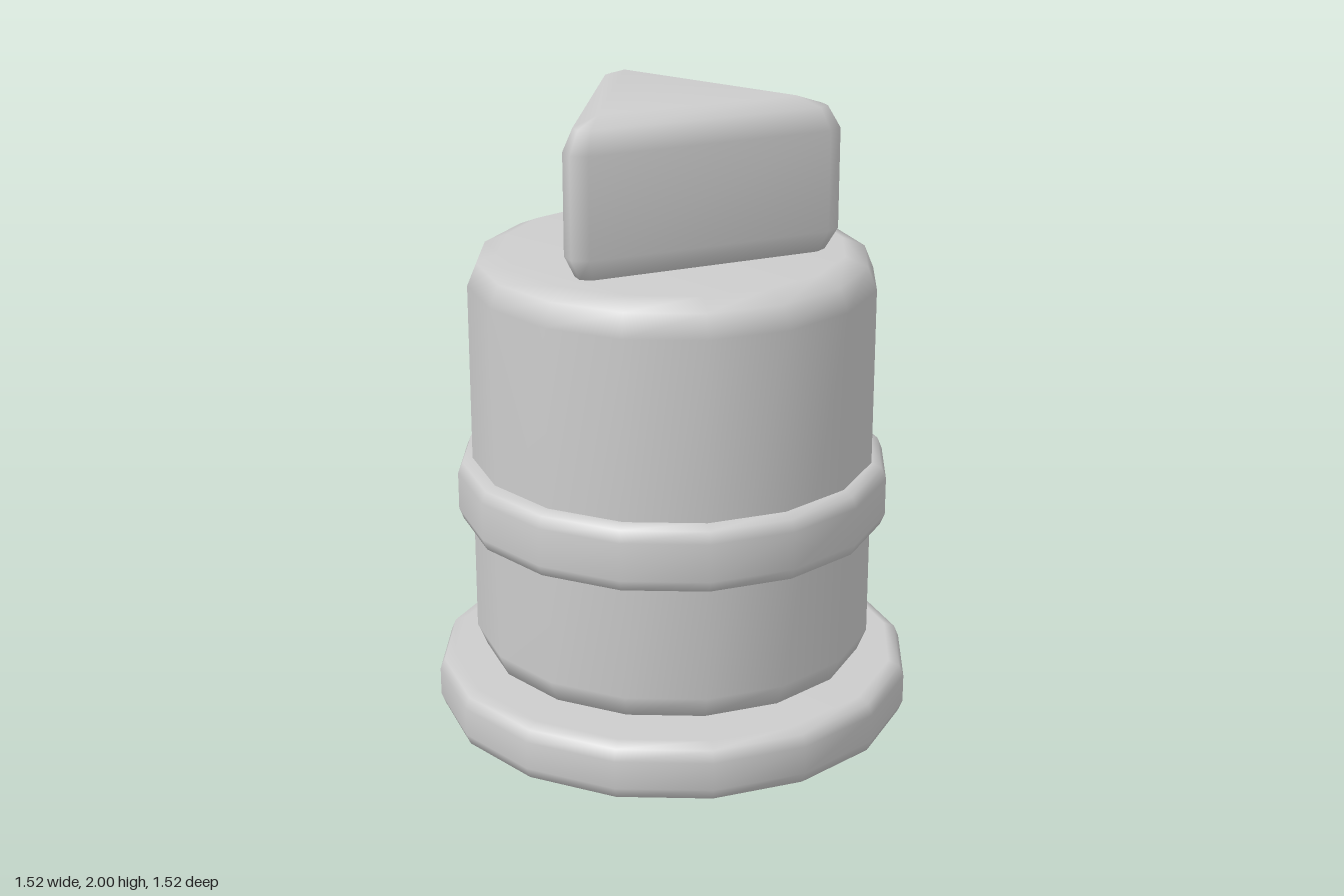
import * as THREE from 'three';
import { mergeVertices } from 'three/addons/utils/BufferGeometryUtils.js';

// Point on the ground plane, angle measured from +z towards +x
const polar = (r, t) => new THREE.Vector2(r * Math.sin(t), r * Math.cos(t));

// Solid with flat caps; its rim rounds from the outer outline to the inner one
function bevelledSolid(inner, outer, y0, y1, bevel) {
  const n = outer.length;
  const positions = [0, y0, 0];
  const index = [];
  const steps = [0, Math.PI / 4, Math.PI / 2];
  const addRing = (a, y) => {
    for (let i = 0; i < n; i++) {
      const p = inner[i].clone().lerp(outer[i], Math.cos(a));
      positions.push(p.x, y, p.y);
    }
  };
  [...steps].reverse().forEach((a) => addRing(a, y0 + bevel * (1 - Math.sin(a))));
  steps.forEach((a) => addRing(a, y1 - bevel * (1 - Math.sin(a))));
  positions.push(0, y1, 0);

  const rings = steps.length * 2;
  const at = (ring, i) => 1 + ring * n + (i % n);
  const top = 1 + rings * n;
  for (let i = 0; i < n; i++) {
    index.push(0, at(0, i + 1), at(0, i));
    for (let j = 0; j < rings - 1; j++) {
      index.push(at(j, i), at(j, i + 1), at(j + 1, i + 1));
      index.push(at(j, i), at(j + 1, i + 1), at(j + 1, i));
    }
    index.push(top, at(rings - 1, i), at(rings - 1, i + 1));
  }
  let geometry = new THREE.BufferGeometry();
  geometry.setAttribute('position', new THREE.Float32BufferAttribute(positions, 3));
  geometry.setIndex(index);
  geometry = mergeVertices(geometry, 1e-4);
  geometry.computeVertexNormals();
  return geometry;
}

// Sixteen-sided disc with a rounded rim
function disc(radius, y0, y1, bevel) {
  const ring = (r) => Array.from({ length: 16 }, (_, i) => polar(r, (i * Math.PI) / 8));
  return bevelledSolid(ring(radius - bevel), ring(radius), y0, y1, bevel);
}

// Triangular block pointing forward, rounded on every edge
function triangleBlock(y0, y1, bevel) {
  const inner = [];
  const outer = [];
  const cornerRadius = 0.055;
  for (let k = 0; k < 3; k++) {
    const t = (k * Math.PI * 2) / 3;
    for (const turn of [-1, 0, 1]) {
      inner.push(polar(0.37, t));
      outer.push(polar(0.45, t).add(polar(cornerRadius, t + (turn * Math.PI) / 3)));
    }
  }
  return bevelledSolid(inner, outer, y0, y1, bevel);
}

export function createModel() {
  const group = new THREE.Group();
  const grey = new THREE.MeshStandardMaterial({ color: 0xcccccc });
  grey.name = 'plain grey';

  const add = (name, geometry) => {
    const mesh = new THREE.Mesh(geometry, grey);
    mesh.name = name;
    group.add(mesh);
  };

  add('base', disc(0.76, 0, 0.19, 0.05));
  add('body', disc(0.635, 0.19, 1.525, 0.1));
  add('collar', disc(0.682, 0.645, 0.865, 0.05));
  add('triangleTop', triangleBlock(1.5, 2, 0.095));
  return group;
}
